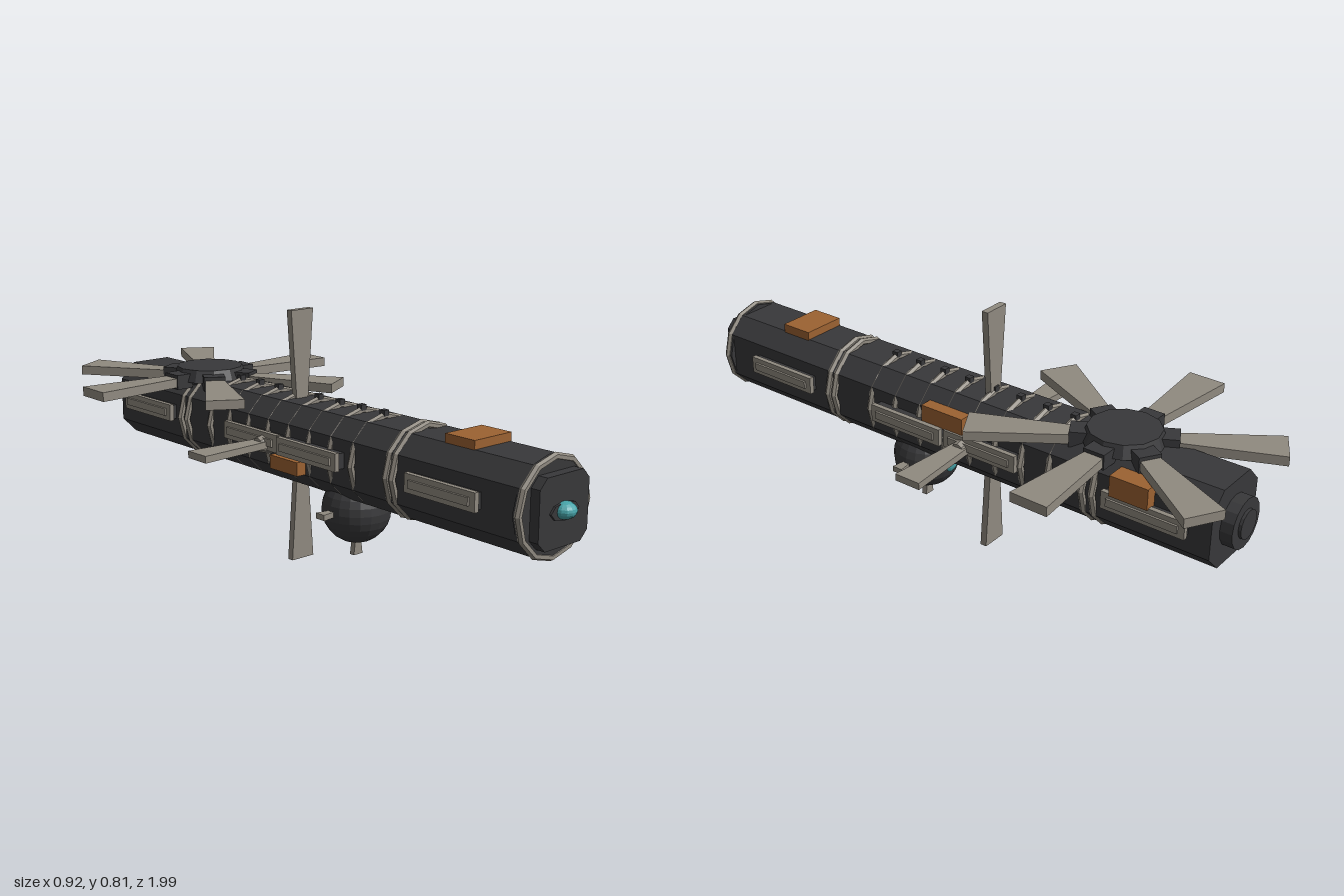
import * as THREE from 'three';

const mat = (name, color) => {
  const m = new THREE.MeshStandardMaterial({ color, flatShading: true });
  m.name = name;
  return m;
};

export function createModel() {
  const model = new THREE.Group();
  model.name = 'spaceStation';
  const dark = mat('charcoal hull', 0x38383a);
  const grey = mat('warm grey metal', 0x908a80);
  const orange = mat('orange panel', 0x9c6232);
  const teal = mat('teal lens', 0x46a3a8);
  const CX = 0.015, CY = 0.405;

  const add = (name, geo, m, x, y, z, parent = model) => {
    const mesh = new THREE.Mesh(geo, m);
    mesh.name = name;
    mesh.position.set(x, y, z);
    parent.add(mesh);
    return mesh;
  };
  const box = (name, m, x0, x1, y0, y1, z0, z1) =>
    add(name, new THREE.BoxGeometry(x1 - x0, y1 - y0, z1 - z0), m, (x0 + x1) / 2, (y0 + y1) / 2, (z0 + z1) / 2);

  // Chamfered square prism running along z
  const prism = (half, flat, z0, z1) => {
    const pts = [[half, -flat], [half, flat], [flat, half], [-flat, half],
      [-half, flat], [-half, -flat], [-flat, -half], [flat, -half]];
    const shape = new THREE.Shape(pts.map(p => new THREE.Vector2(...p)));
    return new THREE.ExtrudeGeometry(shape, { depth: z1 - z0, bevelEnabled: false }).translate(0, 0, z0);
  };
  // Cylinder running along z
  const drum = (r, len, sides) => new THREE.CylinderGeometry(r, r, len, sides).rotateX(Math.PI / 2);
  // Blade along +y, wider across x at the tip
  const blade = (r0, r1, w0, w1, t) => {
    const g = new THREE.BoxGeometry(1, r1 - r0, t);
    g.translate(0, (r0 + r1) / 2, 0);
    const p = g.attributes.position;
    for (let i = 0; i < p.count; i++) p.setX(i, p.getX(i) * (p.getY(i) > (r0 + r1) / 2 ? w1 : w0));
    g.computeVertexNormals();
    return g;
  };

  // Hull, front bulkhead, nose plate and rear docking port
  add('hull', prism(0.125, 0.072, -0.93, 0.92), dark, CX, CY, 0);
  add('frontBulkhead', drum(0.142, 0.025, 12), dark, CX, CY, 0.92);
  add('nosePlate', prism(0.1, 0.072, 0.92, 0.963), dark, CX, CY, 0);
  add('rearPort', drum(0.078, 0.05, 16), dark, CX, CY, -0.943);
  add('rearPortCap', drum(0.045, 0.05, 16), dark, CX, CY, -0.952);

  // Front eye in its socket
  const socket = add('eyeSocket', drum(0.026, 0.012, 8), dark, 0.012, CY, 0.964);
  socket.scale.x = 2.2;
  const eye = add('eye', new THREE.SphereGeometry(0.035, 14, 10), teal, 0.012, 0.407, 0.966);
  eye.scale.y = 0.7;

  // Hoops round the hull
  const hoop = (z, r) => add('hoop', new THREE.TorusGeometry(r, 0.011, 6, 12), grey, CX, CY, z);
  [0.925, 0.46, 0.435, -0.52, -0.555].forEach(z => hoop(z, 0.139));
  for (let i = 0; i < 8; i++) {
    const z = 0.283 - i * 0.0975;
    hoop(z, 0.134);
    // Small clamps along the belly and back
    for (const s of [-1, 1])
      add('hoopClamp', new THREE.BoxGeometry(0.02, 0.018, 0.02), dark, CX, CY + s * 0.142, z);
  }

  // Side equipment rails: dark base, grey face and raised bar
  for (const s of [-1, 1]) {
    const rail = (z0, z1, out) => {
      const len = z1 - z0, z = (z0 + z1) / 2;
      add('railBase', new THREE.BoxGeometry(0.04, 0.048, len - 0.01), dark, CX + s * (out - 0.03), CY + 0.01, z);
      add('railFace', new THREE.BoxGeometry(0.016, 0.056, len), grey, CX + s * (out - 0.008), CY + 0.01, z);
      add('railBar', new THREE.BoxGeometry(0.008, 0.024, len * 0.85), grey, CX + s * (out + 0.003), CY + 0.01, z);
    };
    rail(0.525, 0.79, 0.155);
    rail(-0.02, 0.25, 0.165);
    rail(-0.295, -0.03, 0.155);
    rail(-0.865, -0.595, 0.155);
  }

  // Four cross fins with root collars
  for (let i = 0; i < 4; i++) {
    const fin = new THREE.Group();
    fin.name = 'crossFin';
    fin.position.set(CX, CY, -0.1);
    fin.rotation.z = i * Math.PI / 2;
    add('finBlade', blade(0.12, 0.405, 0.046, 0.088, 0.022), grey, 0, 0, 0, fin);
    // Side fins lie flat
    if (i % 2) fin.children[0].rotation.y = Math.PI / 2;
    if (i % 2) add('finCollar', new THREE.CylinderGeometry(0.022, 0.04, 0.06, 8), grey, 0, 0.145, 0, fin);
    model.add(fin);
  }

  // Rotor on the back: hub, six clamps and six blades
  const rotor = new THREE.Group();
  rotor.name = 'rotor';
  rotor.position.set(0.008, 0.53, -0.565);
  model.add(rotor);
  add('rotorHub', new THREE.CylinderGeometry(0.11, 0.125, 0.04, 12), dark, 0, 0.016, 0, rotor);
  add('rotorStem', new THREE.CylinderGeometry(0.09, 0.09, 0.05, 12), dark, 0, -0.02, 0, rotor);
  for (let i = 0; i < 6; i++) {
    const arm = new THREE.Group();
    arm.name = 'rotorArm';
    arm.rotation.y = i * Math.PI / 3 + Math.PI / 6 - 0.015;
    add('rotorBlade', blade(0.12, 0.458, 0.055, 0.122, 0.03).rotateX(-Math.PI / 2), grey, 0, -0.002, 0, arm);
    add('bladeClamp', new THREE.BoxGeometry(0.07, 0.048, 0.06), dark, 0, 0, -0.127, arm);
    rotor.add(arm);
  }

  // Belly sensor ball with three stubby fins and a rear lens
  const ball = new THREE.Group();
  ball.name = 'sensorBall';
  ball.position.set(CX, 0.228, 0.165);
  model.add(ball);
  add('ballShell', new THREE.SphereGeometry(0.108, 20, 14), dark, 0, 0, 0, ball);
  for (const a of [-1, 1, 2]) {
    const fin = add('ballFin', blade(0.09, 0.148, 0.02, 0.036, 0.018), grey, 0, 0, 0, ball);
    if (a === 2) fin.rotation.z = Math.PI;
    else fin.rotation.set(0, Math.PI / 2, a * Math.PI / 2, 'ZYX');
  }
  const lens = add('ballLens', new THREE.SphereGeometry(0.032, 12, 8), teal, 0, 0, -0.099, ball);
  lens.scale.z = 0.5;

  // Orange access panels
  box('topPanel', orange, -0.058, 0.09, 0.52, 0.556, 0.6, 0.71);
  box('rightMiddlePanel', orange, 0.12, 0.163, 0.44, 0.496, -0.095, 0.06);
  box('rightRearPanel', orange, 0.115, 0.177, 0.44, 0.506, -0.75, -0.625);
  box('leftPanel', orange, -0.143, -0.1, 0.335, 0.378, -0.06, 0.07);

  return model;
}
